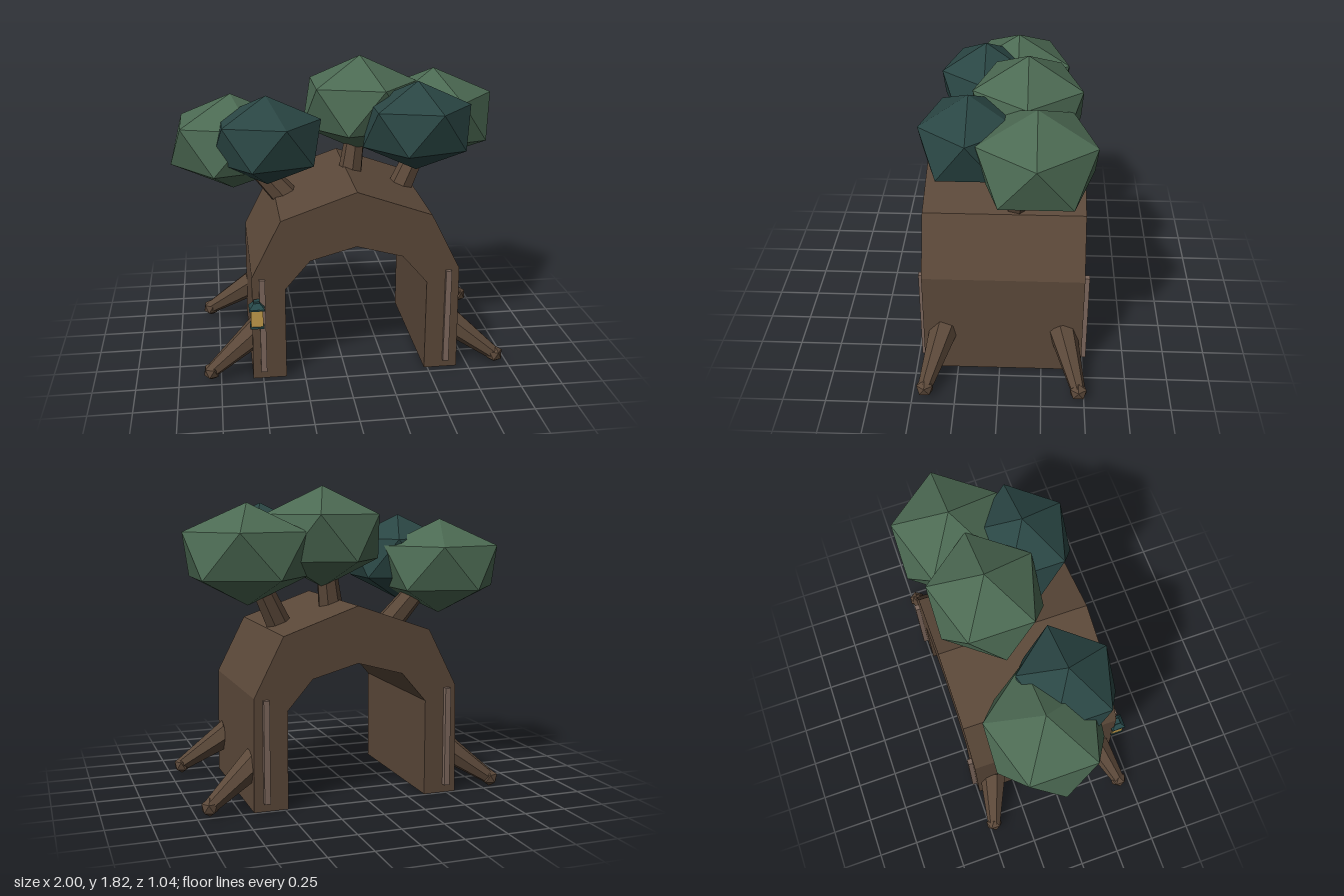
import * as THREE from 'three';

const mat = (name, color, side = THREE.FrontSide) => {
  const m = new THREE.MeshStandardMaterial({ color, side, flatShading: true });
  m.name = name;
  return m;
};

export function createModel() {
  const bark = mat('bark brown', 0x5b4839);
  const strip = mat('pale bark', 0x7c675c);
  const leaf = mat('leaf green', 0x4c6a53);
  const darkLeaf = mat('deep leaf green', 0x2a4644);
  const teal = mat('lantern teal', 0x27494a);
  const glow = mat('lantern amber', 0xc39d4c);

  const model = new THREE.Group();
  model.name = 'hollowTreeArch';

  const add = (parent, name, geometry, material, x = 0, y = 0, z = 0) => {
    const mesh = new THREE.Mesh(geometry, material);
    mesh.name = name;
    mesh.position.set(x, y, z);
    parent.add(mesh);
    return mesh;
  };

  // Tapered, many-sided limb between two points
  const limb = (parent, name, from, to, r0, r1, sides) => {
    const a = new THREE.Vector3(...from), b = new THREE.Vector3(...to);
    const dir = b.clone().sub(a);
    const geo = new THREE.CylinderGeometry(r1, r0, dir.length(), sides);
    const mesh = add(parent, name, geo, bark);
    mesh.position.copy(a).add(b).multiplyScalar(0.5);
    mesh.quaternion.setFromUnitVectors(new THREE.Vector3(0, 1, 0), dir.normalize());
    return mesh;
  };

  // Icosahedron standing on one corner, stretched on each axis
  const blob = (parent, name, material, [x, y, z], [rx, ry, rz]) => {
    const geo = new THREE.IcosahedronGeometry(1, 0);
    geo.rotateZ(-Math.atan(2 / (1 + Math.sqrt(5))));
    geo.scale(rx, ry, rz);
    return add(parent, name, geo, material, x, y, z);
  };

  // Arched trunk
  const cx = 0.06;
  const outer = [[0.62, 0], [0.613, 0.65], [0.44, 0.99], [0, 1.145]];
  const inner = [[0, 0.815], [0.272, 0.74], [0.42, 0.568], [0.42, 0]];
  const mirror = (pts) => pts.filter(([x]) => x > 0).reverse().map(([x, y]) => [-x, y]);
  const outline = [...outer, ...mirror(outer), ...mirror(inner), ...[...inner].slice(0, 4)];
  const shape = new THREE.Shape(outline.map(([x, y]) => new THREE.Vector2(x + cx, y)));
  const archGeo = new THREE.ExtrudeGeometry(shape, { depth: 0.94, bevelEnabled: false });
  add(model, 'archTrunk', archGeo, bark, 0, 0, -0.49);

  // Pale bark strips on both ends of both legs
  for (const x of [-0.495, 0.608]) {
    for (const z of [0.457, -0.503]) {
      add(model, 'barkStrip', new THREE.BoxGeometry(0.034, 0.59, 0.032), strip, x, 0.345, z);
    }
  }

  // Splayed roots with knobbly ends
  for (const side of [-1, 1]) {
    for (const end of [-1, 1]) {
      const root = new THREE.Group();
      root.name = 'root';
      const at = (dx, y, dz) => [cx + side * dx, y, -0.02 + end * dz];
      limb(root, 'rootLimb', at(0.57, 0.27, 0.35), at(0.865, 0.055, 0.447), 0.088, 0.042, 7);
      blob(root, 'rootTip', bark, at(0.865, 0.054, 0.447), [0.052, 0.054, 0.056]);
      model.add(root);
    }
  }

  // Branches rising from the arch into the crowns
  limb(model, 'leftBranch', [0.39, 0.95, -0.08], [0.59, 1.35, -0.15], 0.08, 0.055, 7);
  limb(model, 'middleBranch', [0.09, 1.03, -0.1], [0.145, 1.42, -0.14], 0.08, 0.055, 7);
  limb(model, 'rightBranch', [-0.27, 0.93, -0.03], [-0.59, 1.3, -0.07], 0.085, 0.06, 7);

  // Crowns
  const big = [0.414, 0.293, 0.378], small = [0.36, 0.267, 0.315];
  blob(model, 'rightCrown', leaf, [-0.63, 1.328, -0.075], big);
  blob(model, 'middleCrown', leaf, [0.16, 1.522, -0.145], [0.395, 0.298, 0.363]);
  blob(model, 'leftCrown', leaf, [0.63, 1.43, -0.2], big);
  blob(model, 'rightFrontCrown', darkLeaf, [-0.43, 1.379, 0.125], small);
  blob(model, 'leftFrontCrown', darkLeaf, [0.455, 1.452, 0.175], small);

  // Hanging lantern
  const lantern = new THREE.Group();
  lantern.name = 'lantern';
  lantern.position.set(-0.53, 0, 0.478);
  const roof = new THREE.CylinderGeometry(0.025, 0.064, 0.03, 4);
  roof.rotateY(Math.PI / 4);
  add(lantern, 'lanternBase', new THREE.BoxGeometry(0.082, 0.012, 0.082), teal, 0, 0.364, 0);
  add(lantern, 'lanternGlass', new THREE.BoxGeometry(0.07, 0.105, 0.07), glow, 0, 0.42, 0);
  add(lantern, 'lanternRim', new THREE.BoxGeometry(0.09, 0.01, 0.09), teal, 0, 0.476, 0);
  add(lantern, 'lanternRoof', roof, teal, 0, 0.495, 0);
  add(lantern, 'lanternCap', new THREE.BoxGeometry(0.035, 0.014, 0.035), teal, 0, 0.515, 0);
  model.add(lantern);

  return model;
}
